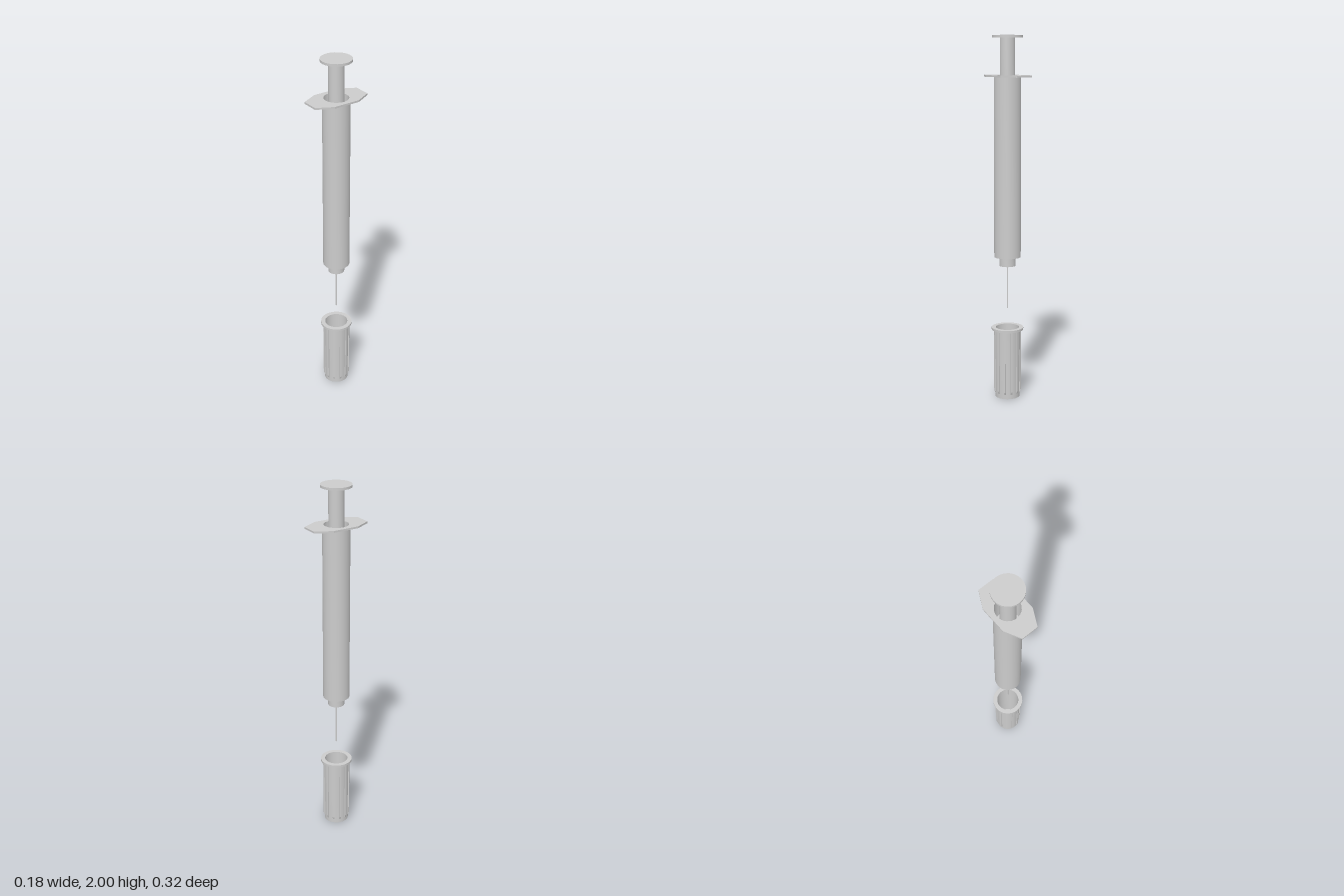
import * as THREE from 'three';
import { toCreasedNormals } from 'three/addons/utils/BufferGeometryUtils.js';

const material = new THREE.MeshStandardMaterial({ color: 0xcccccc });

function addMesh(parent, name, geometry) {
  const mesh = new THREE.Mesh(geometry, material);
  mesh.name = name;
  parent.add(mesh);
  return mesh;
}

// Turned solid from [radius, height] pairs, listed from the bottom centre up the outside
function turned(profile, segments = 24) {
  const points = profile.map(([r, y]) => new THREE.Vector2(r, y));
  return toCreasedNormals(new THREE.LatheGeometry(points, segments), 0.6);
}

function rod(radius, bottom, top) {
  return turned([[0, bottom], [radius, bottom], [radius, top], [0, top]]);
}

export function createModel() {
  const model = new THREE.Group();
  model.name = 'syringe';

  // Hollow barrel, open at the top
  addMesh(model, 'barrel', turned([
    [0, 0.8], [0.073, 0.8], [0.073, 1.785], [0.066, 1.785], [0.066, 0.815], [0, 0.815],
  ], 32));

  // Finger flange: a long octagon with the bore cut through it
  const outline = [
    [0.046, 0.162], [0.092, 0.074], [0.092, -0.074], [0.046, -0.162],
    [-0.046, -0.162], [-0.092, -0.074], [-0.092, 0.074], [-0.046, 0.162],
  ].map(([x, y]) => new THREE.Vector2(x, y));
  const shape = new THREE.Shape(outline);
  shape.holes.push(new THREE.Path().absarc(0, 0, 0.066, 0, Math.PI * 2));
  const flangeGeometry = new THREE.ExtrudeGeometry(shape, {
    depth: 0.01, bevelEnabled: false, curveSegments: 16,
  });
  flangeGeometry.rotateX(-Math.PI / 2);
  addMesh(model, 'fingerFlange', flangeGeometry).position.y = 1.78;

  // Plunger
  const plunger = new THREE.Group();
  plunger.name = 'plunger';
  model.add(plunger);
  addMesh(plunger, 'plungerRod', rod(0.041, 1.6, 1.99));
  addMesh(plunger, 'plungerStopper', rod(0.0655, 1.54, 1.6));
  addMesh(plunger, 'thumbRest', rod(0.083, 1.987, 2));

  // Hub and needle
  addMesh(model, 'needleHub', rod(0.045, 0.75, 0.8));
  addMesh(model, 'needle', turned([[0, 0.51], [0.004, 0.51], [0.004, 0.75], [0, 0.75]], 10));

  // Needle cap: hollow, tapered, with a rim and vertical ribs
  const cap = new THREE.Group();
  cap.name = 'needleCap';
  model.add(cap);
  addMesh(cap, 'capBody', turned([
    [0, 0], [0.068, 0], [0.073, 0.385], [0.088, 0.387], [0.088, 0.4],
    [0.064, 0.4], [0.06, 0.02], [0, 0.02],
  ], 32));

  const ribCount = 12;
  const ribShape = new THREE.Shape([
    new THREE.Vector2(0.064, 0.025), new THREE.Vector2(0.071, 0.025),
    new THREE.Vector2(0.076, 0.04), new THREE.Vector2(0.076, 0.387),
    new THREE.Vector2(0.068, 0.387),
  ]);
  const ribGeometry = new THREE.ExtrudeGeometry(ribShape, { depth: 0.01, bevelEnabled: false });
  ribGeometry.translate(0, 0, -0.005);
  for (let i = 0; i < ribCount; i++) {
    addMesh(cap, 'capRib', ribGeometry).rotation.y = ((i + 0.5) / ribCount) * Math.PI * 2;
  }

  return model;
}
